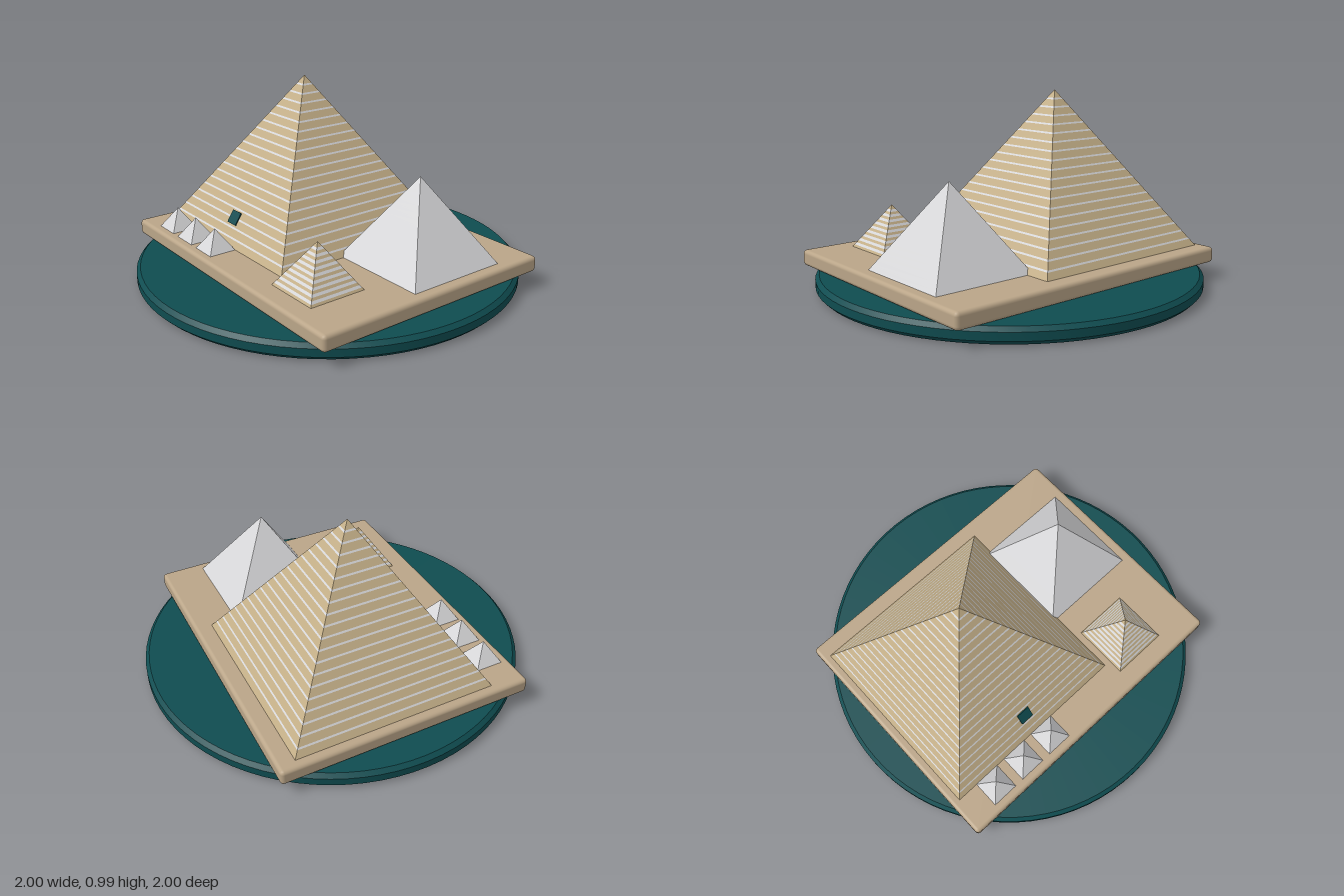
import * as THREE from 'three';
import { mergeGeometries, toCreasedNormals } from 'three/addons/utils/BufferGeometryUtils.js';
import { RoundedBoxGeometry } from 'three/addons/geometries/RoundedBoxGeometry.js';

const material = (name, color) => {
  const m = new THREE.MeshStandardMaterial({ color });
  m.name = name;
  return m;
};

export function createModel() {
  const model = new THREE.Group();
  model.name = 'pyramidComplex';
  const teal = material('deepTeal', 0x0f4c50);
  const sand = material('sandSlab', 0xbaa588);
  const tan = material('tanStone', 0xc4af88);
  const pale = material('paleStone', 0xd8d8da);
  const GROUND = 0.163;

  const add = (parent, name, geometry, mat) => {
    const mesh = new THREE.Mesh(geometry, mat);
    mesh.name = name;
    parent.add(mesh);
    return mesh;
  };

  // Four-sided band of a pyramid, from height fraction a to b
  const band = (half, height, a, b) => {
    const r = half * Math.SQRT2;
    const g = new THREE.CylinderGeometry(r * (1 - b), r * (1 - a), height * (b - a), 4, 1, true);
    g.rotateY(Math.PI / 4).translate(0, height * (a + b) / 2, 0);
    return toCreasedNormals(g, 0.3);
  };

  // Pyramid of stone courses, each topped by a joint line of another colour
  const pyramid = (name, x, z, half, height, courses, jointShare, stone, joint) => {
    const group = new THREE.Group();
    group.name = name;
    group.position.set(x, GROUND, z);
    const stones = [], joints = [];
    for (let i = 0; i < courses; i++) {
      const a = i / courses, b = (i + 1) / courses;
      const split = i === courses - 1 ? b : b - jointShare / courses;
      stones.push(band(half, height, a, split));
      if (split < b) joints.push(band(half, height, split, b));
    }
    add(group, 'courses', mergeGeometries(stones), stone);
    if (joints.length) add(group, 'joints', mergeGeometries(joints), joint);
    model.add(group);
    return group;
  };

  // Round base with chamfered rims
  const rim = [[0, 0], [0.98, 0], [1, 0.02], [1, 0.06], [0.98, 0.08], [0, 0.08]]
    .map(([x, y]) => new THREE.Vector2(x, y));
  add(model, 'roundBase', toCreasedNormals(new THREE.LatheGeometry(rim, 80), 0.4), teal);

  // Slab with softened edges
  add(model, 'plateau', new RoundedBoxGeometry(1.694, 0.083, 1.35, 2, 0.02), sand)
    .position.y = GROUND - 0.0415;

  // Three main pyramids
  const great = pyramid('greatPyramid', -0.267, -0.05, 0.535, 0.822, 20, 0.2, tan, pale);
  pyramid('middlePyramid', 0.51, -0.17, 0.278, 0.435, 16, 0.2, pale, pale);
  pyramid('smallPyramid', 0.458, 0.413, 0.153, 0.23, 10, 0.5, tan, pale);

  // Row of tiny pyramids in front
  [-0.61, -0.415, -0.22].forEach((x, i) =>
    pyramid(`tinyPyramid${i + 1}`, x, 0.557, 0.073, 0.112, 1, 0, pale, pale));

  // Entrance plate lying on the front slope
  const door = add(great, 'entrance', new THREE.BoxGeometry(0.075, 0.07, 0.008), teal);
  const y = 0.122;
  door.position.set(0, y, 0.535 * (1 - y / 0.822) + 0.003);
  door.rotation.x = -Math.atan(0.535 / 0.822);

  return model;
}
